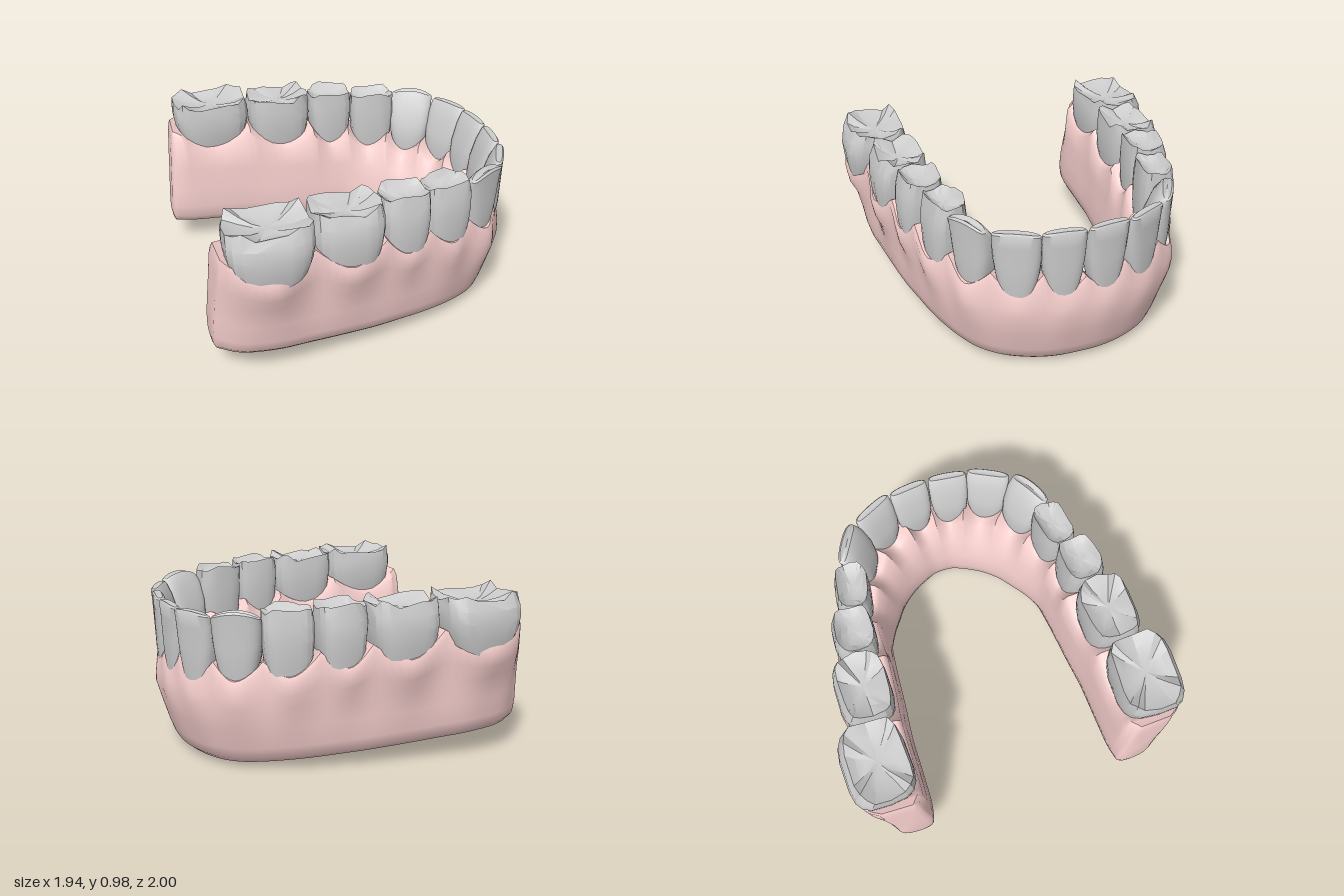
import * as THREE from 'three';
import { toCreasedNormals } from 'three/addons/utils/BufferGeometryUtils.js';

const { lerp, smoothstep, degToRad } = THREE.MathUtils;
const gumMaterial = new THREE.MeshStandardMaterial({ color: 0xf6cfcd });
const toothMaterial = new THREE.MeshStandardMaterial({ color: 0xcccccc });

// Skin equal-length rings of points, closing both ends with a fan
function loft(rings, crease, flip = false) {
  const n = rings[0].length, pos = [], index = [];
  rings.forEach(r => r.forEach(p => pos.push(p.x, p.y, p.z)));
  const tri = (a, b, c) => flip ? index.push(a, c, b) : index.push(a, b, c);
  for (let i = 0; i < rings.length - 1; i++) {
    for (let j = 0; j < n; j++) {
      const a = i * n + j, b = i * n + (j + 1) % n;
      tri(a, b, b + n);
      tri(a, b + n, a + n);
    }
  }
  [0, rings.length - 1].forEach(i => {
    const c = centroid(rings[i]), ci = pos.length / 3;
    pos.push(c.x, c.y, c.z);
    for (let j = 0; j < n; j++) {
      const a = i * n + j, b = i * n + (j + 1) % n;
      if (i === 0) tri(b, a, ci); else tri(a, b, ci);
    }
  });
  const g = new THREE.BufferGeometry();
  g.setAttribute('position', new THREE.Float32BufferAttribute(pos, 3));
  g.setIndex(index);
  return toCreasedNormals(g, crease);
}

function centroid(ring) {
  return ring.reduce((s, p) => s.add(p), new THREE.Vector3()).divideScalar(ring.length);
}

// Gum stations from back to front of one side: outer x, z, inner x, z, margin height.
// Odd rows lie between teeth, even rows at the middle of a tooth.
const stations = [
  [-0.905, 0.87, -0.915, 0.59, 0.79], [-0.85, 0.94, -0.87, 0.575, 0.77],
  [-0.64, 0.992, -0.65, 0.565, 0.67], [-0.41, 0.90, -0.42, 0.56, 0.77],
  [-0.20, 0.92, -0.20, 0.54, 0.63], [0.00, 0.85, 0.00, 0.525, 0.72],
  [0.14, 0.84, 0.11, 0.515, 0.60], [0.28, 0.785, 0.22, 0.50, 0.69],
  [0.45, 0.755, 0.33, 0.45, 0.56], [0.57, 0.67, 0.42, 0.39, 0.64],
  [0.72, 0.62, 0.50, 0.335, 0.53], [0.80, 0.50, 0.57, 0.265, 0.62],
  [0.885, 0.375, 0.62, 0.195, 0.51], [0.915, 0.24, 0.66, 0.12, 0.62],
  [0.95, 0.125, 0.685, 0.06, 0.50], [0.945, 0, 0.69, 0, 0.58],
];

// Scalloped margin: rounded dips under teeth, points between them
function marginHeight(i, f) {
  const a = stations[i][4], b = stations[Math.min(i + 1, stations.length - 1)][4];
  if (i === 0) return lerp(a, b, f);
  return i % 2 ? b + (a - b) * (1 - f) ** 1.7 : a + (b - a) * f ** 1.7;
}

function makeGum() {
  const curve = rows => new THREE.CatmullRomCurve3(
    [...rows, ...rows.slice(0, -1).reverse().map(([x, z]) => [x, -z])]
      .map(([x, z]) => new THREE.Vector3(x, 0, z)), false, 'centripetal');
  const outerRows = stations.map(s => [s[0], s[1]]);
  // The lower wall follows the arch without the bulge of each tooth
  const evenRows = outerRows.map((r, i) => i === 0 || i === outerRows.length - 1 ? r
    : r.map((v, k) => (outerRows[i - 1][k] + 2 * v + outerRows[i + 1][k]) / 4));
  const outer = curve(outerRows), lower = curve(evenRows);
  const inner = curve(stations.map(s => [s[2], s[3]]));
  const segs = stations.length - 1, steps = 5, half = [];
  for (let k = 0; k <= segs * steps; k++) {
    const i = Math.floor(k / steps), f = k / steps - i, t = k / steps / (2 * segs);
    const o = outer.getPoint(t), low = lower.getPoint(t), inn = inner.getPoint(t);
    const n = low.clone().sub(inn).normalize();
    const h = marginHeight(i, f), floor = 0.072 - 0.083 * low.x;
    const front = smoothstep(low.x, 0, 0.9);
    const backEnd = Math.max(0, 1 - k / steps);
    const innerTop = inn.clone().lerp(low, 0.12 + 0.12 * backEnd + 0.34 * Math.max(0, low.x));
    const at = (base, off, y) => {
      const p = base.clone().addScaledVector(n, off);
      p.y = y;
      p.x -= 0.035 * backEnd * (h - y) / (h - floor);
      return p;
    };
    half.push([
      at(o, -0.012, h + 0.005),
      at(o, 0.002, h - 0.03),
      at(o, lerp(-0.012, 0.012, front), lerp(floor + 0.36, h, 0.4)),
      at(o.clone().lerp(low, 0.4), lerp(-0.035, 0.018, front), floor + 0.36),
      at(o.clone().lerp(low, 0.8), lerp(-0.05, -0.015, front), floor + 0.23),
      at(low, lerp(-0.062, -0.05, front), floor + 0.11),
      at(low, lerp(-0.08, -0.075, front), floor + 0.045),
      at(low, -0.115, floor + 0.012),
      at(low, -0.16, floor),
      at(inn, 0.07, floor + 0.003),
      at(inn, 0.03, floor + 0.025),
      at(inn, 0.008, floor + 0.065),
      at(inn, 0, floor + 0.14),
      at(inn, 0.008, floor + 0.26),
      at(inn.clone().lerp(innerTop, 0.45), 0, floor + 0.40),
      at(innerTop, -0.008, h - 0.03),
      at(innerTop, 0.02, h + 0.002),
    ]);
  }
  // Rounded back end
  const c = centroid(half[0]);
  const cap = (amount, back) => half[0].map(p => {
    const q = p.clone().lerp(c, amount);
    q.x = p.x - back;
    return q;
  });
  const side = [cap(0.28, 0.022), cap(0.12, 0.015), cap(0.04, 0.007), ...half];
  const other = side.slice(0, -1).reverse().map(r => r.map(p => new THREE.Vector3(p.x, p.y, -p.z)));
  const mesh = new THREE.Mesh(loft([...side, ...other], 0.9), gumMaterial);
  mesh.name = 'gum';
  return mesh;
}

// Teeth of one side: centre x, z, outward angle, length, depth, margin height, top height
const teeth = [
  { name: 'centralIncisor', x: 0.88, z: 0.12, a: 7, len: 0.243, depth: 0.15, low: 0.50, top: 0.89 },
  { name: 'lateralIncisor', x: 0.823, z: 0.35, a: 27, len: 0.265, depth: 0.15, low: 0.51, top: 0.89 },
  { name: 'canine', x: 0.655, z: 0.527, a: 61, len: 0.275, depth: 0.19, low: 0.53, top: 0.915 },
  { name: 'firstPremolar', x: 0.415, z: 0.638, a: 80, len: 0.285, depth: 0.215, low: 0.56, top: 0.915, cusps: 2 },
  { name: 'secondPremolar', x: 0.138, z: 0.707, a: 87, len: 0.28, depth: 0.255, low: 0.60, top: 0.935, cusps: 2 },
  { name: 'firstMolar', x: -0.205, z: 0.752, a: 90, len: 0.40, depth: 0.32, low: 0.63, top: 0.94, cusps: 4 },
  { name: 'secondMolar', x: -0.645, z: 0.805, a: 92, len: 0.475, depth: 0.385, low: 0.67, top: 0.945, cusps: 4 },
];

// Levels: length scale, depth scale, outward shift, height fraction
const biterLevels = [
  [0.74, 0.78, 0, 0], [0.90, 0.93, 0, 0.25], [0.98, 0.85, 0.06, 0.5],
  [1, 0.62, 0.19, 0.78], [0.98, 0.40, 0.32, 0.97], [0.90, 0.26, 0.33, 1],
];
const chewerLevels = [
  [0.86, 0.87, 0, 0], [0.95, 0.96, 0, 0.25], [1, 1, 0, 0.55], [1, 0.96, -0.012, 0.78], [0.97, 0.84, -0.045, 1],
];

function makeTooth(t, side) {
  const a = degToRad(t.a), count = t.cusps ? 18 : 28;
  const power = t.cusps === 4 ? 0.58 : t.cusps ? 0.64 : 0.7;
  const bend = (v, p) => Math.sign(v) * Math.abs(v) ** p;
  const ring = (su, sv, shift, height, lobes = 0) => Array.from({ length: count }, (_, j) => {
    const th = j / count * Math.PI * 2;
    const r = 1 + lobes * Math.sin(5 * th + t.x * 9);
    const cu = bend(Math.cos(th), power), cv = bend(Math.sin(th), power);
    const u = cu * r * su * t.len / 2, v = (cv * r * sv / 2 + shift) * t.depth;
    return new THREE.Vector3(
      t.x + Math.cos(a) * v - Math.sin(a) * u, height(th, cu),
      side * (t.z + Math.sin(a) * v + Math.cos(a) * u));
  });
  // Cusps rise at the corners, or at cheek and tongue sides of premolars
  const cusp = th => t.cusps === 4
    ? -0.016 * Math.cos(4 * th) + 0.014 * Math.sin(7 * th + t.x * 9)
    : -0.012 * Math.cos(2 * th) + 0.01 * Math.sin(5 * th + t.x * 9);
  const root = cu => t.low - 0.05 + 0.08 * cu * cu;
  const crown = (th, cu) => t.cusps ? t.top + cusp(th)
    : t.top - (t.name === 'canine' ? 0.03 : 0.008) * cu ** 2;
  const rings = (t.cusps ? chewerLevels : biterLevels).map(([su, sv, shift, f]) =>
    ring(su, sv, shift, (th, cu) => lerp(root(cu), f < 0.9 ? t.top : crown(th, cu), f),
      t.cusps && f > 0.9 ? 0.03 : 0));
  // Hollow chewing surface with ridges running down from the cusps
  if (t.cusps) {
    rings.push(ring(0.66, 0.58, -0.04, th => t.top - 0.03 + cusp(th) * 0.6, 0.12));
    rings.push(ring(0.34, 0.28, -0.03, th => t.top - 0.045 + cusp(th) * 0.2, 0.1));
  }
  const mesh = new THREE.Mesh(loft(rings, t.cusps ? 0.4 : 0.7, side < 0), toothMaterial);
  mesh.name = (side > 0 ? 'left' : 'right') + t.name[0].toUpperCase() + t.name.slice(1);
  return mesh;
}

export function createModel() {
  const model = new THREE.Group();
  model.name = 'lowerJaw';
  model.add(makeGum());
  const row = new THREE.Group();
  row.name = 'teeth';
  for (const side of [1, -1]) teeth.forEach(t => row.add(makeTooth(t, side)));
  model.add(row);
  return model;
}
